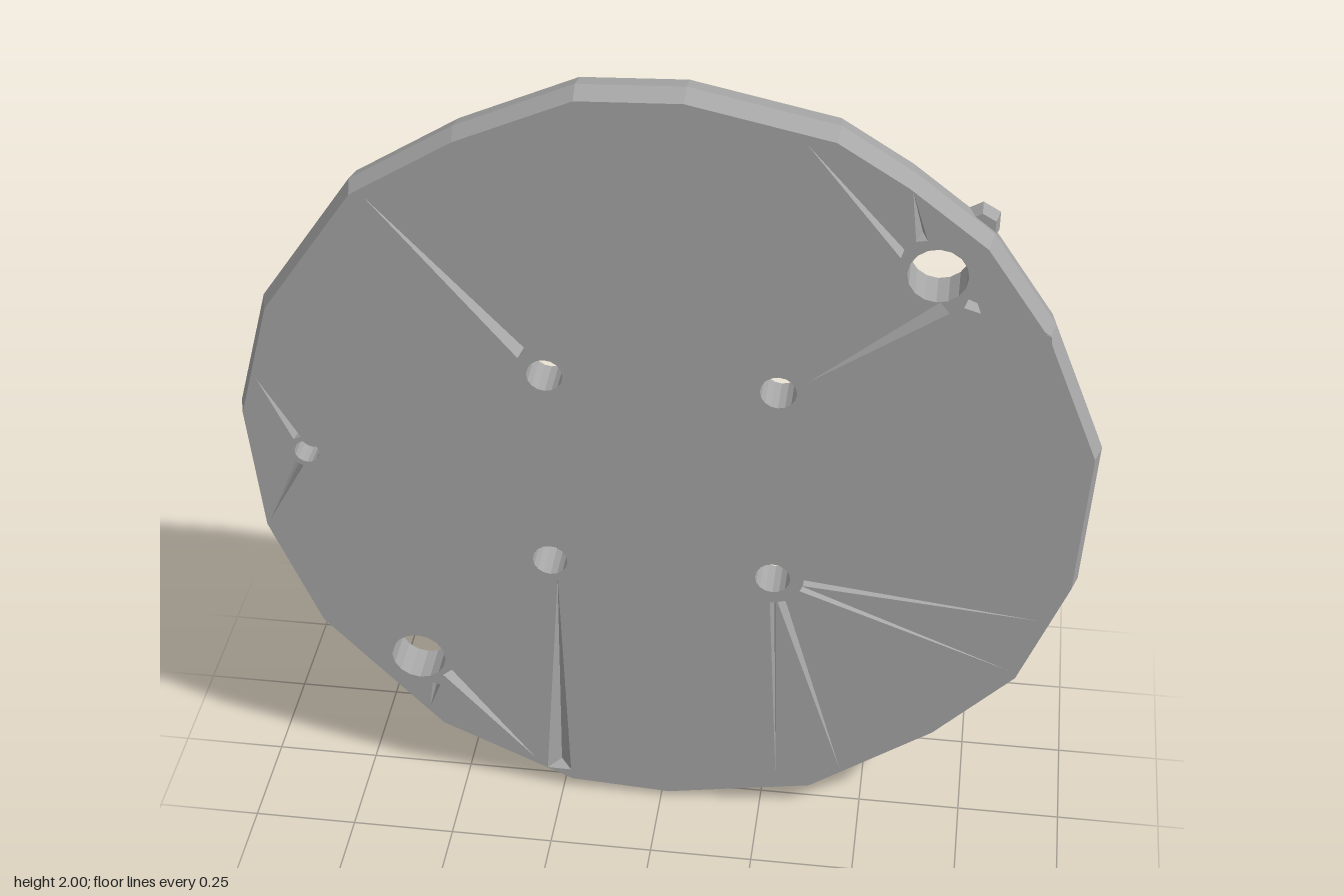
import * as THREE from 'three';

const HALF = 0.05; // half thickness of the plate
const steel = new THREE.MeshStandardMaterial({ color: 0xa6a6a6, flatShading: true, side: THREE.DoubleSide });
steel.name = 'grey';

// Uneven rim polygon, counter-clockwise, centred on the disc
const rim = [
  [0.05, 1], [-0.19, 0.99], [-0.46, 0.87], [-0.7, 0.72], [-0.92, 0.4], [-1, 0.1], [-0.97, -0.23],
  [-0.85, -0.52], [-0.56, -0.83], [-0.23, -0.985], [0.02, -1], [0.38, -0.935], [0.68, -0.72],
  [0.87, -0.52], [0.98, -0.23], [1, 0.15], [0.87, 0.47], [0.72, 0.69], [0.54, 0.83], [0.38, 0.93],
];

// Through holes: x, y, radius
const holes = [
  [-0.267, 0.267, 0.042], [0.267, 0.267, 0.042], [-0.267, -0.267, 0.042], [0.267, -0.267, 0.042],
  [0.605, 0.605, 0.067], [-0.605, -0.605, 0.067],
];
const dimple = [-0.84, 0, 0.03];

// Tapering grooves: wide end x, y, pointed end x, y, width
const frontGrooves = [
  [-0.315, 0.32, -0.66, 0.71, 0.032], [-0.29, 0.335, -0.46, 0.86, 0.026],
  [-0.26, -0.94, -0.25, -0.32, 0.06],
  [0.34, -0.274, 0.9, -0.33, 0.018], [0.335, -0.292, 0.84, -0.49, 0.016],
  [0.29, -0.335, 0.45, -0.86, 0.02], [0.269, -0.34, 0.29, -0.91, 0.014],
  [0.625, 0.525, 0.33, 0.3, 0.035], [0.67, 0.54, 0.86, 0.47, 0.025],
  [0.53, 0.65, 0.31, 0.91, 0.02], [0.565, 0.69, 0.54, 0.81, 0.025],
  [-0.535, -0.65, -0.32, -0.91, 0.03], [-0.565, -0.69, -0.585, -0.77, 0.02],
  [-0.86, 0.037, -0.945, 0.2, 0.02], [-0.86, -0.037, -0.945, -0.21, 0.02],
];
const backGrooves = [
  [-0.24, 0.93, -0.262, 0.325, 0.05], [-0.32, 0.325, -0.7, 0.67, 0.02], [-0.34, 0.28, -0.91, 0.36, 0.025],
  [0.82, -0.47, 0.33, -0.3, 0.06], [0.27, -0.92, 0.267, -0.325, 0.05], [0.34, -0.265, 0.92, -0.3, 0.01],
  [0.545, 0.54, 0.32, 0.32, 0.015], [0.665, 0.545, 0.85, 0.43, 0.035],
  [0.53, 0.66, 0.25, 0.93, 0.025], [0.57, 0.69, 0.4, 0.88, 0.03], [0.63, 0.69, 0.59, 0.76, 0.03],
  [-0.54, -0.66, -0.27, -0.93, 0.03], [-0.575, -0.69, -0.55, -0.79, 0.02],
];

const vecs = (list) => list.map(([x, y]) => new THREE.Vector2(x, y));

function circle([x, y, r], n = 16) {
  return Array.from({ length: n }, (_, i) => {
    const a = (i / n) * Math.PI * 2;
    return [x + r * Math.cos(a), y + r * Math.sin(a)];
  });
}

function grooveCorners([wx, wy, px, py, w]) {
  const len = Math.hypot(px - wx, py - wy);
  const nx = (-(py - wy) / len) * w / 2, ny = ((px - wx) / len) * w / 2;
  return [[wx + nx, wy + ny], [wx - nx, wy - ny], [px, py]];
}

function triangles(positions) {
  const g = new THREE.BufferGeometry();
  g.setAttribute('position', new THREE.Float32BufferAttribute(positions, 3));
  g.computeVertexNormals();
  return g;
}

// Wall between two matching loops of points
function band(a, za, b, zb) {
  const p = [];
  a.forEach((q, i) => {
    const j = (i + 1) % a.length;
    p.push(...q, za, ...b[i], zb, ...a[j], za, ...b[i], zb, ...b[j], zb, ...a[j], za);
  });
  return triangles(p);
}

export function createModel() {
  const disc = new THREE.Group();
  disc.name = 'perforatedDisc';
  disc.position.y = 1;
  const add = (geometry, name) => {
    const mesh = new THREE.Mesh(geometry, steel);
    mesh.name = name;
    disc.add(mesh);
    return mesh;
  };
  const scaled = (s) => rim.map(([x, y]) => [x * s, y * s]);

  // Flat faces with holes and sunken grooves
  function face(name, side, scale, grooves, rounds) {
    const z = HALF * side;
    const shape = new THREE.Shape(vecs(scaled(scale)));
    rounds.forEach((h) => shape.holes.push(new THREE.Path(vecs(circle(h)))));
    const cuts = grooves.map(grooveCorners);
    cuts.forEach((c) => shape.holes.push(new THREE.Path(vecs(c))));
    const g = new THREE.ShapeGeometry(shape);
    if (side < 0) g.index.array.reverse();
    g.translate(0, 0, z);
    g.computeVertexNormals();
    add(g, name);

    const p = [];
    cuts.forEach(([a, b, tip]) => {
      const deep = [(a[0] + b[0]) / 2, (a[1] + b[1]) / 2, z - side * 0.04];
      const A = [...a, z], B = [...b, z], T = [...tip, z];
      [[A, deep, T], [deep, B, T], [A, B, deep]].forEach((t) => {
        if (side < 0) t.reverse();
        p.push(...t.flat());
      });
    });
    add(triangles(p), name + 'Grooves');
  }
  face('frontFace', 1, 0.985, frontGrooves, [...holes, dimple]);
  face('backFace', -1, 0.99, backGrooves, holes);

  // Rim, widest at mid thickness
  add(band(scaled(0.985), HALF, rim, 0), 'rimFront');
  add(band(rim, 0, scaled(0.99), -HALF), 'rimBack');

  // Hole walls
  holes.forEach((h) => {
    const loop = circle(h);
    add(band(loop, -HALF, loop, HALF), 'holeWall');
  });

  // Blind locating dimple
  const loop = circle(dimple);
  add(band(loop, -0.01, loop, HALF), 'dimpleWall');
  const floor = add(new THREE.CircleGeometry(dimple[2], 16), 'dimpleFloor');
  floor.position.set(dimple[0], dimple[1], -0.01);

  // Small burr on the rim
  const burr = add(new THREE.CylinderGeometry(0.035, 0.045, 0.035, 6), 'rimBurr');
  burr.rotation.x = Math.PI / 2;
  burr.position.set(0.69, 0.695, -0.032);

  const model = new THREE.Group();
  model.name = 'model';
  model.add(disc);
  return model;
}
